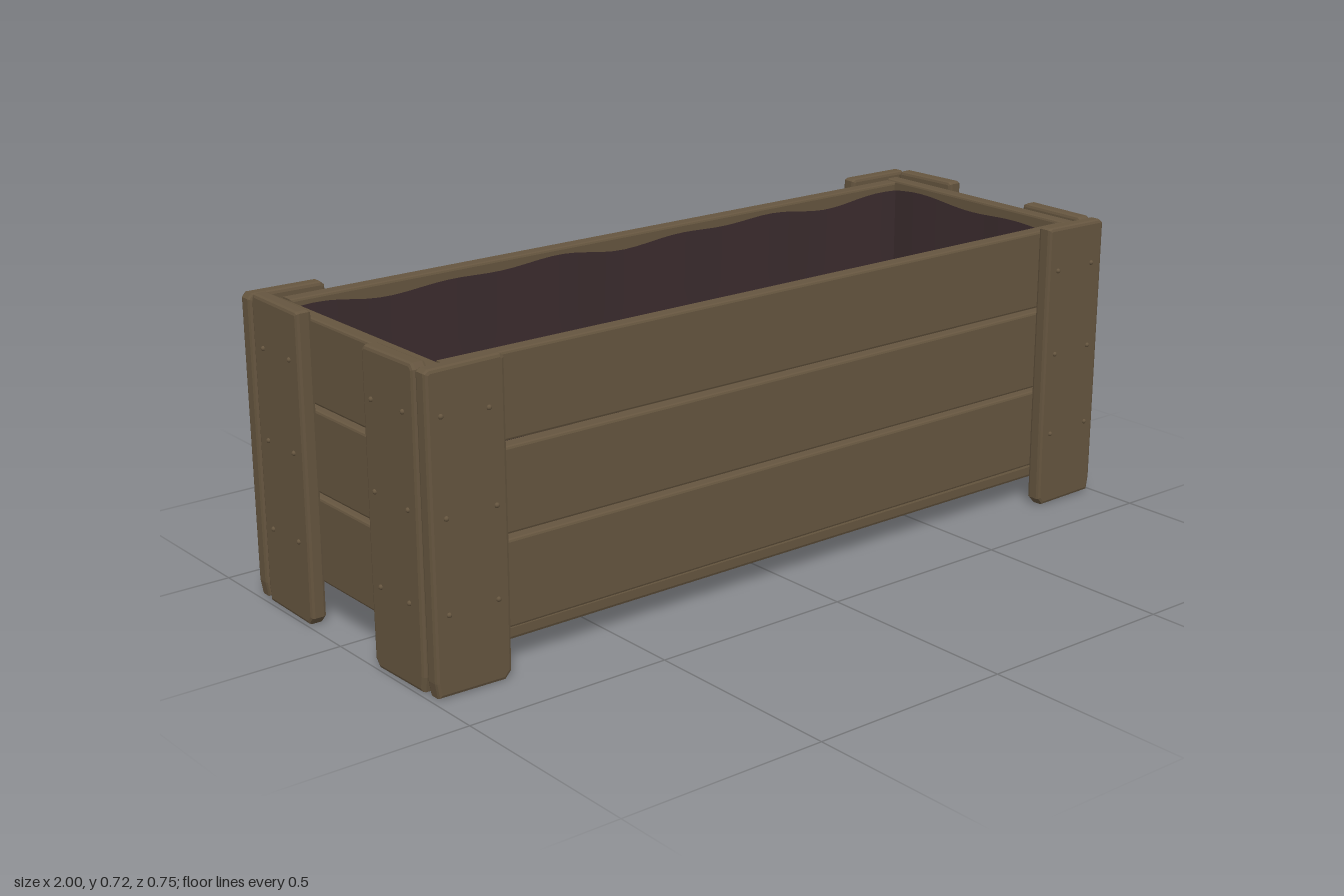
import * as THREE from 'three';

export function createModel() {
  const root = new THREE.Group();
  root.name = 'planterBox';
  const wood = new THREE.MeshStandardMaterial({ color: 0x65553f });
  wood.name = 'brownWood';
  const cloth = new THREE.MeshStandardMaterial({ color: 0x3a2b2d, side: THREE.DoubleSide });
  cloth.name = 'darkLiner';

  let seed = 7;
  const jitter = (a) => {
    seed = (seed * 16807) % 2147483647;
    return (seed / 2147483647 - 0.5) * 2 * a;
  };

  // Board: outline in XY with bevelled edges, thickness centred on z
  function board(name, points, thick, bevel = 0.006) {
    const shape = new THREE.Shape(points.map((p) => new THREE.Vector2(...p)));
    const geo = new THREE.ExtrudeGeometry(shape, {
      depth: thick - 2 * bevel, bevelEnabled: true, bevelThickness: bevel,
      bevelSize: bevel, bevelOffset: -bevel, bevelSegments: 2,
    });
    geo.translate(0, 0, bevel - thick / 2);
    const mesh = new THREE.Mesh(geo, wood);
    mesh.name = name;
    return mesh;
  }
  const plank = (name, halfLength, y0, y1, thick) => board(name, [
    [-halfLength, y0 + jitter(0.002)], [halfLength, y0 + jitter(0.002)],
    [halfLength, y1 + jitter(0.002)], [-halfLength, y1 + jitter(0.002)],
  ], thick);

  // Three rows of planks on all four walls
  const rows = [[0.095, 0.294], [0.304, 0.498], [0.509, 0.705]];
  for (const [y0, y1] of rows) {
    for (const s of [1, -1]) {
      const long = plank('longWallPlank', 0.915, y0, y1, 0.04);
      long.position.z = s * 0.306;
      const end = plank('endWallPlank', 0.322, y0, y1, 0.038);
      end.position.x = s * 0.936;
      end.rotation.y = s * Math.PI / 2;
      root.add(long, end);
    }
  }

  // Three floor boards with gaps between them
  for (const [z, width] of [[0.215, 0.19], [0.002, 0.206], [-0.205, 0.19]]) {
    const floor = board('floorBoard', [
      [-0.91, -width / 2], [0.91, -width / 2], [0.91, width / 2], [-0.91, width / 2],
    ], 0.036, 0.008);
    floor.rotation.x = Math.PI / 2;
    floor.position.set(0, 0.075, z);
    root.add(floor);
  }

  // Corner board with a clipped lower inner corner and nail heads on its outer face
  const nailGeo = new THREE.SphereGeometry(0.006, 8, 6);
  function cornerBoard(name, width, inner, top) {
    const group = new THREE.Group();
    group.name = name;
    const w = width / 2;
    let outline = [
      [-w + 0.008, 0.005], [w - 0.018, 0.002], [w - 0.002, 0.02], [w, 0.2],
      [w, top - 0.006 + jitter(0.003)], [w - 0.01, top], [-w + 0.01, top + jitter(0.003)],
      [-w, top - 0.01], [-w + 0.002, 0.04],
    ];
    if (inner < 0) outline = outline.map(([x, y]) => [-x, y]).reverse();
    group.add(board(name + 'Plank', outline, 0.038, 0.008));
    for (const y of [0.19, 0.4, 0.61]) {
      for (const x of [-0.06, 0.06]) {
        const nail = new THREE.Mesh(nailGeo, wood);
        nail.name = 'nail';
        nail.position.set(x + jitter(0.008), y + jitter(0.006), 0.019);
        group.add(nail);
      }
    }
    return group;
  }
  for (const sx of [1, -1]) {
    for (const sz of [1, -1]) {
      const face = cornerBoard('longSideCorner', 0.192, -sx * sz, 0.718);
      face.position.set(sx * 0.897, 0, sz * 0.35);
      face.rotation.y = sz > 0 ? 0 : Math.PI;
      const side = cornerBoard('endCorner', 0.195, sx * sz, sz > 0 ? 0.717 : 0.724);
      side.position.set(sx * 0.975, 0, sz > 0 ? 0.229 : -0.223);
      side.rotation.y = sx * Math.PI / 2;
      root.add(face, side);
    }
  }

  // Cloth liner: a grid folded into a tray, outer rings form the walls
  const nx = 60, nz = 28, walls = 5;
  const liner = new THREE.PlaneGeometry(2, 2, nx, nz);
  liner.rotateX(-Math.PI / 2);
  const pos = liner.attributes.position;
  const heights = [0.68, 0.54, 0.4, 0.26, 0.15, 0.11];
  const inset = [0, 0.002, 0.004, 0.008, 0.015, 0.05];
  const along = (i, n) =>
    THREE.MathUtils.clamp(((i - walls) / (n - 2 * walls)) * 2 - 1, -1, 1);
  for (let j = 0; j <= nz; j++) {
    for (let i = 0; i <= nx; i++) {
      const ring = Math.min(i, nx - i, j, nz - j, walls);
      const u = along(i, nx), v = along(j, nz);
      const wave = Math.sin(u * 9 + v * 2) * 0.5 + Math.sin(u * 17 - v * 5) * 0.5;
      const pull = inset[ring] + (ring < walls ? 0.004 * (wave + 1) : 0);
      pos.setXYZ(j * (nx + 1) + i,
        u * (0.911 - pull),
        heights[ring] + wave * (ring === 0 ? 0.012 : 0.004),
        v * (0.284 - pull));
    }
  }
  liner.computeVertexNormals();
  const linerMesh = new THREE.Mesh(liner, cloth);
  linerMesh.name = 'liner';
  root.add(linerMesh);

  return root;
}
